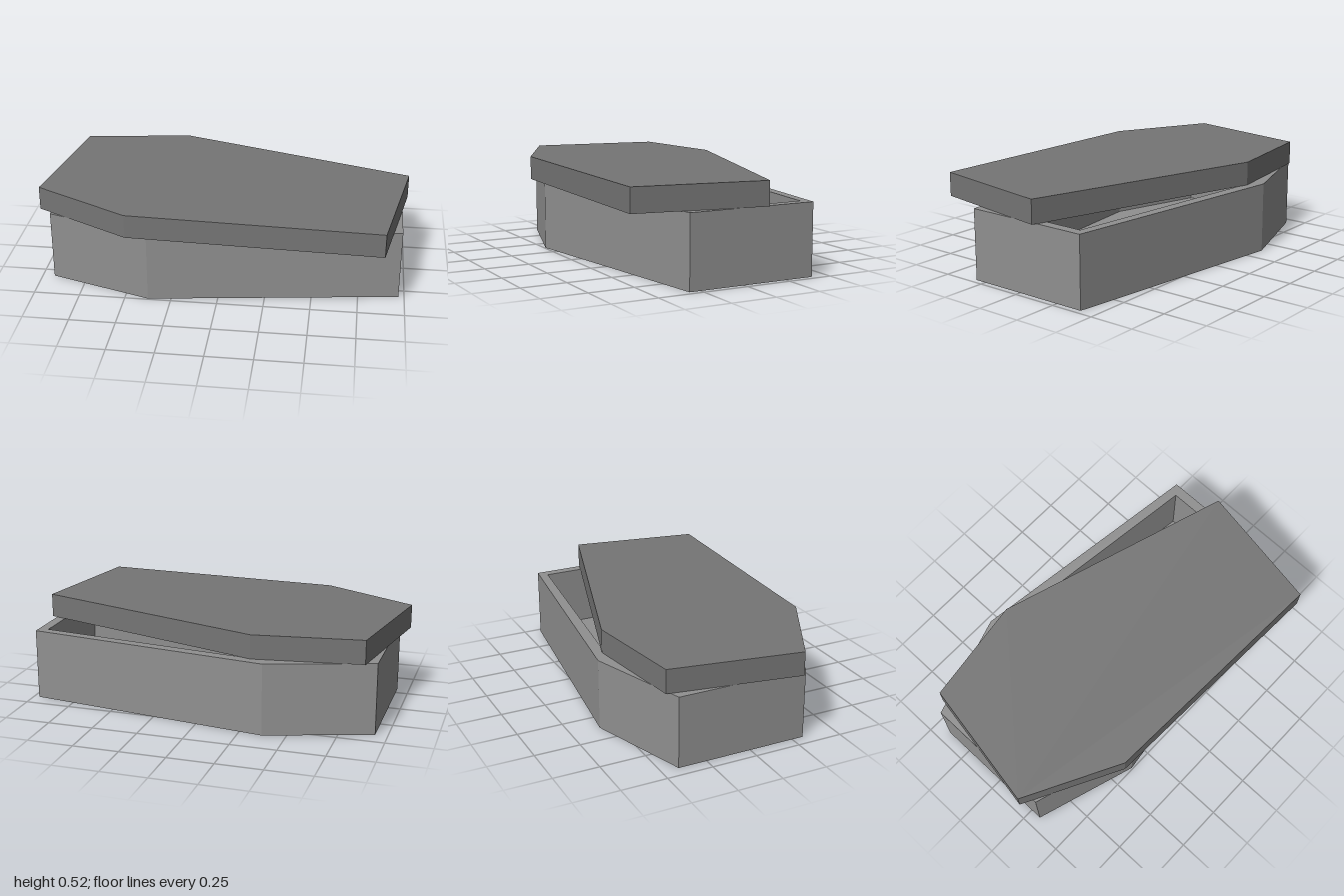
import * as THREE from 'three';

const FLOOR = 0.053;

// Half-plan of the six-sided coffin, mirrored across its long axis: head, shoulder, foot
const half = [[-0.952, 0.36], [-0.392, 0.54], [0.952, 0.36]];
const outline = [
  ...half.map(([x, z]) => [x, -z]),
  ...[...half].reverse(),
];
// The cavity is a narrower copy of the outline
const cavity = outline.map(([x, z]) => [x * 0.942, z * 0.878]);

// Open hollow tray: outer wall, rim, inner wall, closed underneath and at the floor
function trayGeometry(height) {
  const ring = (pts, y) => pts.map(([x, z]) => [x, y, z]);
  const rings = [ring(outline, 0), ring(outline, height), ring(cavity, height), ring(cavity, FLOOR)];
  const n = outline.length;
  const pos = [];
  const tri = (a, b, c) => pos.push(...a, ...b, ...c);
  for (let r = 0; r < rings.length - 1; r++) {
    for (let i = 0; i < n; i++) {
      const j = (i + 1) % n;
      tri(rings[r][i], rings[r + 1][i], rings[r + 1][j]);
      tri(rings[r][i], rings[r + 1][j], rings[r][j]);
    }
  }
  for (let i = 1; i < n - 1; i++) {
    tri(rings[0][0], rings[0][i], rings[0][i + 1]);
    tri(rings[3][0], rings[3][i + 1], rings[3][i]);
  }
  const geo = new THREE.BufferGeometry();
  geo.setAttribute('position', new THREE.Float32BufferAttribute(pos, 3));
  geo.computeVertexNormals();
  return geo;
}

function part(name, geometry, color) {
  const mesh = new THREE.Mesh(geometry, new THREE.MeshStandardMaterial({ color, flatShading: true }));
  mesh.name = name;
  return mesh;
}

export function createModel() {
  const group = new THREE.Group();
  group.name = 'coffin';

  // Box standing on the ground
  const box = part('box', trayGeometry(0.389), 0x909090);
  box.position.set(0.0175, 0, -0.047);
  group.add(box);

  // Hollow lid: a shallow tray turned upside down and pushed askew
  const lid = part('lid', trayGeometry(0.13).rotateX(Math.PI), 0x757575);
  lid.position.set(-0.001, 0.52, 0.069);
  lid.rotation.y = -0.172;
  group.add(lid);

  return group;
}
